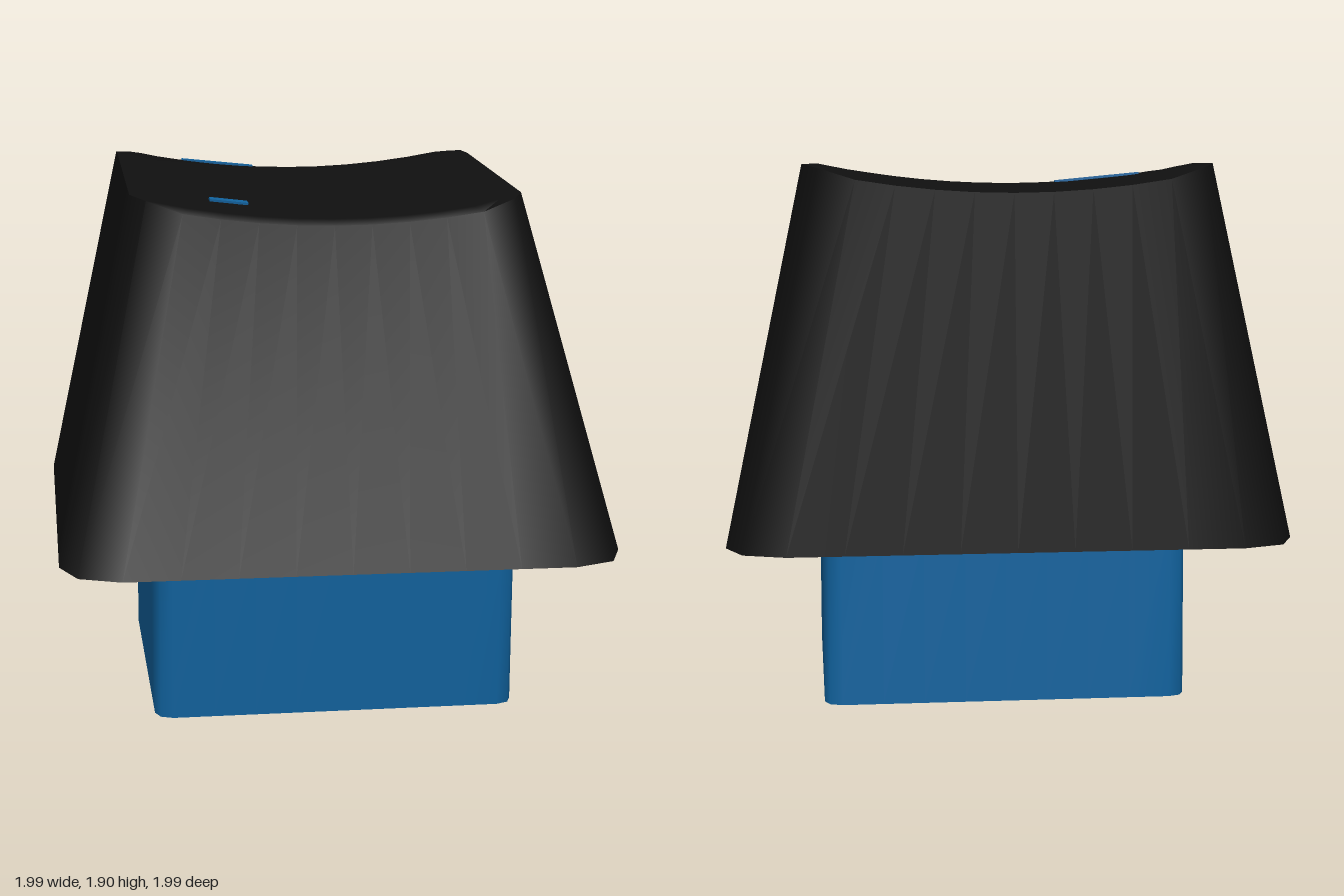
import * as THREE from 'three';
import { toCreasedNormals } from 'three/addons/utils/BufferGeometryUtils.js';

const black = new THREE.MeshStandardMaterial({ color: 0x0f0f0f });
black.name = 'matte black';
const blue = new THREE.MeshStandardMaterial({ color: 0x10619c, side: THREE.DoubleSide });
blue.name = 'blue';

// Rounded rectangle in x/z; heightAt gives y for each point
function ring(hx, hz, r, cz, heightAt) {
  const corners = [[1, 1, 0], [-1, 1, 1], [-1, -1, 2], [1, -1, 3]].map(([sx, sz, q]) =>
    [0, 1, 2].map((k) => {
      const a = (q + k / 2) * Math.PI / 2;
      return [sx * (hx - r) + r * Math.cos(a), cz + sz * (hz - r) + r * Math.sin(a)];
    }));
  const points = [];
  const steps = 8;
  corners.forEach((arc, i) => {
    points.push(...arc);
    const from = arc[2], to = corners[(i + 1) % 4][0];
    for (let k = 1; k < steps; k++) {
      const t = k / steps;
      points.push([from[0] + (to[0] - from[0]) * t, from[1] + (to[1] - from[1]) * t]);
    }
  });
  return points.map(([x, z]) => new THREE.Vector3(x, heightAt(x, z), z));
}

// Skin a stack of rings with equal point counts
function loft(rings, crease) {
  const n = rings[0].length;
  const index = [];
  for (let j = 0; j < rings.length - 1; j++) {
    for (let i = 0; i < n; i++) {
      const a = j * n + i, a1 = j * n + (i + 1) % n;
      index.push(a, a + n, a1, a + n, a1 + n, a1);
    }
  }
  const geometry = new THREE.BufferGeometry().setFromPoints(rings.flat());
  geometry.setIndex(index);
  return toCreasedNormals(geometry, crease);
}

// Height of the top: sloping to the front, scooped across the width
const rim = [[-0.866, 1.23], [-0.78, 1.26], [-0.62, 1.266], [0.44, 1.175], [0.485, 1.157]];
function topHeight(x, z) {
  let i = 0;
  while (i < rim.length - 2 && z > rim[i + 1][0]) i++;
  const [[z0, y0], [z1, y1]] = [rim[i], rim[i + 1]];
  const t = THREE.MathUtils.clamp((z - z0) / (z1 - z0), 0, 1);
  return y0 + (y1 - y0) * t - 0.065 * Math.max(0, 1 - (x / 0.63) ** 2);
}

export function createModel() {
  const group = new THREE.Group();
  group.name = 'keycap';
  const add = (name, geometry, material) => {
    const mesh = new THREE.Mesh(geometry, material);
    mesh.name = name;
    group.add(mesh);
    return mesh;
  };

  // Tapered cap with flat underside and scooped top
  const flat = (y) => () => y;
  const rings = [
    ring(0, 0, 0, 0, flat(0)),
    ring(0.952, 0.95, 0.2, 0, flat(0)),
    ring(0.685, 0.675, 0.17, -0.19, topHeight),
  ];
  const fill = 10;
  for (let k = fill; k >= 0; k--) {
    const s = k / fill;
    rings.push(ring(0.63 * s, 0.615 * s, 0.14 * s, -0.175, topHeight));
  }
  add('cap', loft(rings, 0.95), black);

  // Open-bottomed inner sleeve with its ceiling
  add('sleeve', loft([
    ring(0.63, 0.595, 0.06, 0.025, flat(-0.588)),
    ring(0.63, 0.595, 0.06, 0.025, flat(-0.004)),
    ring(0, 0, 0, 0.025, flat(-0.004)),
  ], 0.95), blue);

  // Thin marks lying on the top
  [['backMark', -0.29, -0.707, 0.28, 0.028], ['frontMark', -0.335, 0.215, 0.135, 0.045]]
    .forEach(([name, x, z, w, d]) => {
      const mark = add(name, new THREE.BoxGeometry(w, 0.008, d), blue);
      mark.position.set(x, topHeight(x, z) + 0.005, z);
      mark.rotation.set(z > 0 ? 0.086 : 0.03, 0, 2 * 0.065 * x / 0.63 ** 2);
    });

  // Slight turn and forward tilt of the whole piece
  group.rotation.set(0.042, -0.061, 0, 'YXZ');
  group.position.y = 0.614;
  const model = new THREE.Group();
  model.name = 'model';
  model.add(group);
  return model;
}
